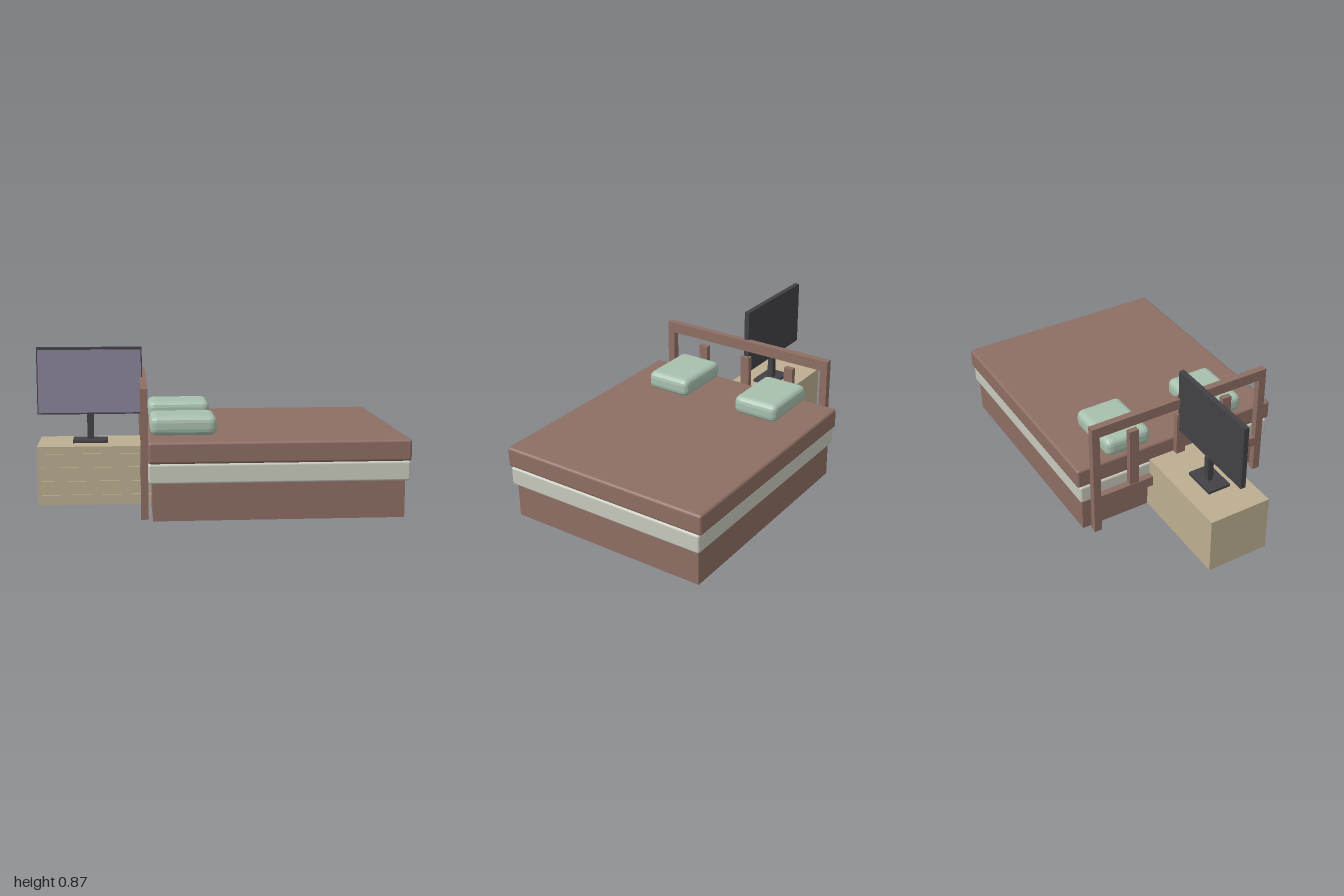
import * as THREE from 'three';
import { RoundedBoxGeometry } from 'three/addons/geometries/RoundedBoxGeometry.js';

const mat = (name, color, flatShading = false) => {
  const m = new THREE.MeshStandardMaterial({ color, flatShading });
  m.name = name;
  return m;
};

export function createModel() {
  const brown = mat('brown', 0x8d6e63);
  const cream = mat('cream', 0xc8c9bc);
  const sage = mat('sage', 0xa8c0ae, true);
  const tan = mat('tan', 0xbcae91);
  const charcoal = mat('charcoal', 0x424246);
  const mauve = mat('mauve', 0x8c839c);

  const model = new THREE.Group();
  model.name = 'bedWithDresserAndMonitor';
  const group = (name) => {
    const g = new THREE.Group();
    g.name = name;
    model.add(g);
    return g;
  };
  // Box from its extents, with optional rounded edges
  const box = (parent, name, material, [x0, x1], [y0, y1], [z0, z1], radius = 0, segments = 2) => {
    const size = [x1 - x0, y1 - y0, z1 - z0];
    const geo = radius
      ? new RoundedBoxGeometry(...size, segments, radius)
      : new THREE.BoxGeometry(...size);
    const mesh = new THREE.Mesh(geo, material);
    mesh.name = name;
    mesh.position.set((x0 + x1) / 2, (y0 + y1) / 2, (z0 + z1) / 2);
    parent.add(mesh);
  };

  // Bed: plinth, mattress and cover
  const bed = group('bed');
  box(bed, 'bedBase', brown, [-0.365, 0.97], [0, 0.2], [-0.592, 0.592]);
  box(bed, 'mattress', cream, [-0.388, 0.995], [0.2, 0.306], [-0.61, 0.61], 0.012);
  box(bed, 'cover', brown, [-0.388, 0.997], [0.308, 0.424], [-0.625, 0.625], 0.015);
  for (const s of [-1, 1]) {
    const z = s * 0.297;
    box(bed, 'pillow', sage, [-0.375, -0.015], [0.424, 0.53], [z - 0.137, z + 0.137], 0.036);
  }

  // Headboard: open frame with short slats
  const headboard = group('headboard');
  const depth = [-0.427, -0.387];
  for (const s of [-1, 1]) {
    const z = s * 0.529;
    box(headboard, 'post', brown, depth, [0, 0.635], [z - 0.022, z + 0.022]);
  }
  box(headboard, 'topRail', brown, depth, [0.633, 0.695], [-0.551, 0.551]);
  box(headboard, 'lowerRail', brown, depth, [0.175, 0.235], [-0.51, 0.51]);
  for (const z of [-0.297, 0, 0.297]) {
    box(headboard, 'slat', brown, [-0.423, -0.391], [0.23, 0.59], [z - 0.028, z + 0.028]);
  }

  // Dresser with slim drawer pulls
  const dresser = group('dresser');
  box(dresser, 'cabinet', tan, [-0.995, -0.36], [0, 0.33], [-0.18, 0.18]);
  for (let i = 0; i < 4; i++) {
    const y = 0.052 + i * 0.077;
    box(dresser, 'drawerPull', tan, [-0.972, -0.361], [y - 0.007, y + 0.007], [0.179, 0.188]);
  }

  // Monitor on its stand
  const monitor = group('monitor');
  box(monitor, 'standFoot', charcoal, [-0.802, -0.607], [0.33, 0.345], [-0.067, 0.067]);
  box(monitor, 'standNeck', charcoal, [-0.722, -0.685], [0.34, 0.5], [-0.022, 0.012]);
  box(monitor, 'panel', charcoal, [-1, -0.41], [0.487, 0.866], [-0.014, 0.015]);
  box(monitor, 'screen', mauve, [-0.994, -0.416], [0.496, 0.852], [0.015, 0.021]);

  return model;
}
